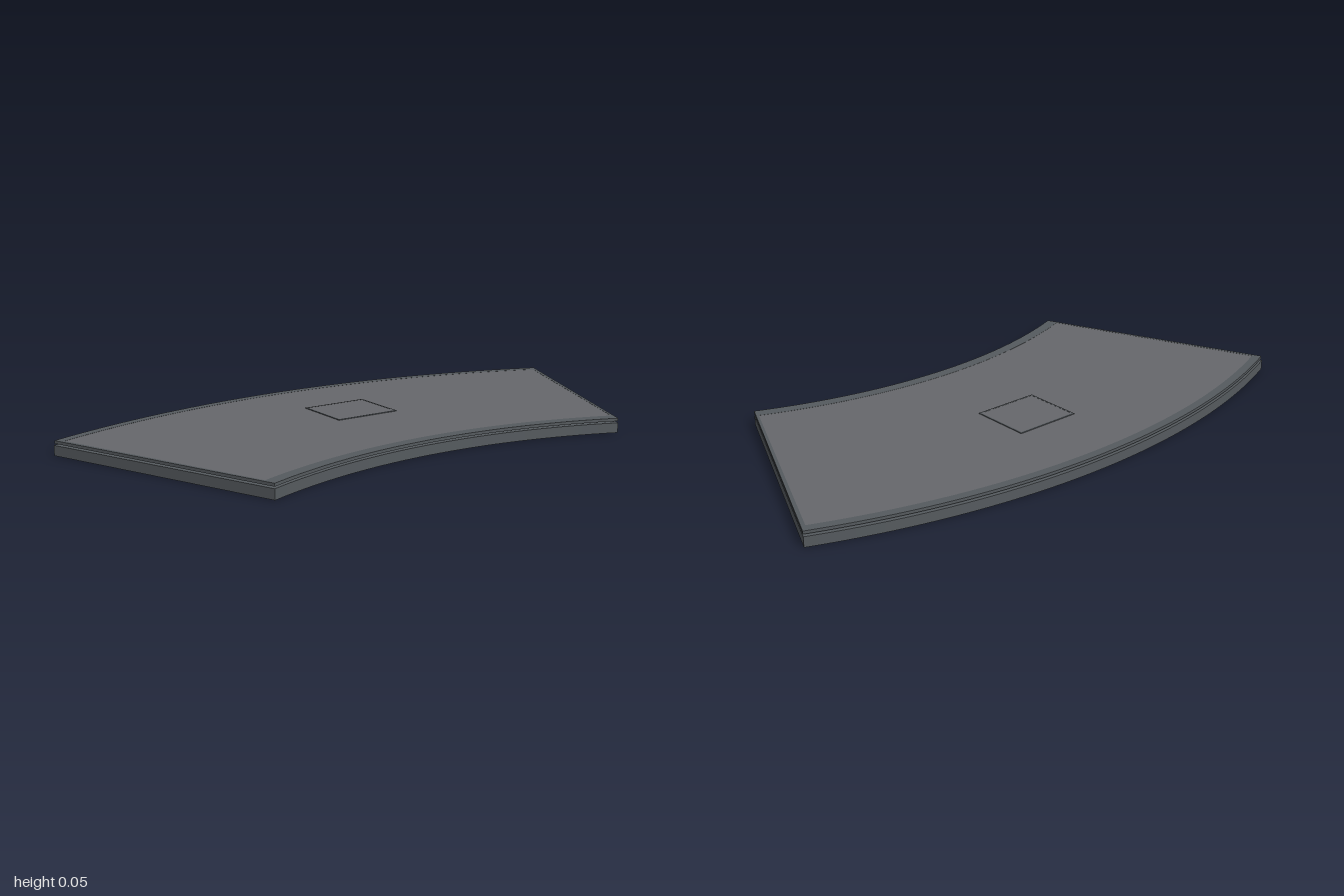
import * as THREE from 'three';

const CENTRE_Z = 2.113; // common centre of all the arcs

// Outline of a ring sector, symmetric about x = 0
function sector(inner, outer, halfDegrees, PathType = THREE.Shape) {
  const half = THREE.MathUtils.degToRad(halfDegrees);
  const path = new PathType();
  path.absarc(0, -CENTRE_Z, outer, Math.PI / 2 - half, Math.PI / 2 + half, false);
  path.absarc(0, -CENTRE_Z, inner, Math.PI / 2 + half, Math.PI / 2 - half, true);
  path.closePath();
  return path;
}

// Rectangle outline, with y pointing to the back
function rectangle(w, d, cy, PathType = THREE.Shape) {
  const path = new PathType();
  path.moveTo(-w / 2, cy - d / 2);
  path.lineTo(w / 2, cy - d / 2);
  path.lineTo(w / 2, cy + d / 2);
  path.lineTo(-w / 2, cy + d / 2);
  path.closePath();
  return path;
}

// Lay a flat outline down and give it thickness from y0 to y1
function layer(name, shape, y0, y1, material) {
  const geometry = new THREE.ExtrudeGeometry(shape, {
    depth: y1 - y0, bevelEnabled: false, curveSegments: 48,
  });
  geometry.rotateX(-Math.PI / 2);
  geometry.translate(0, y0, 0);
  const mesh = new THREE.Mesh(geometry, material);
  mesh.name = name;
  return mesh;
}

export function createModel() {
  const model = new THREE.Group();
  model.name = 'curvedPlatform';
  const frameMaterial = new THREE.MeshStandardMaterial({ color: 0x555a5e });
  const panelMaterial = new THREE.MeshStandardMaterial({ color: 0x66676b });

  // Lower slab
  model.add(layer('baseSlab', sector(1.747, 2.613, 22.5), 0, 0.034, frameMaterial));

  // Upper rim, separated from the slab by a narrow shadow gap
  const rim = sector(1.747, 2.609, 22.5);
  rim.holes.push(sector(1.788, 2.578, 22.2, THREE.Path));
  model.add(layer('topRim', rim, 0.04, 0.05, frameMaterial));

  // Deck panel filling the rim
  model.add(layer('deckPanel', sector(1.788, 2.578, 22.2), 0.04, 0.0495, panelMaterial));

  // Square hatch with a thin border
  const border = rectangle(0.236, 0.21, 0.115);
  border.holes.push(rectangle(0.224, 0.198, 0.115, THREE.Path));
  model.add(layer('hatchBorder', border, 0.049, 0.052, frameMaterial));
  model.add(layer('hatchPanel', rectangle(0.224, 0.198, 0.115), 0.049, 0.0515, panelMaterial));

  return model;
}
